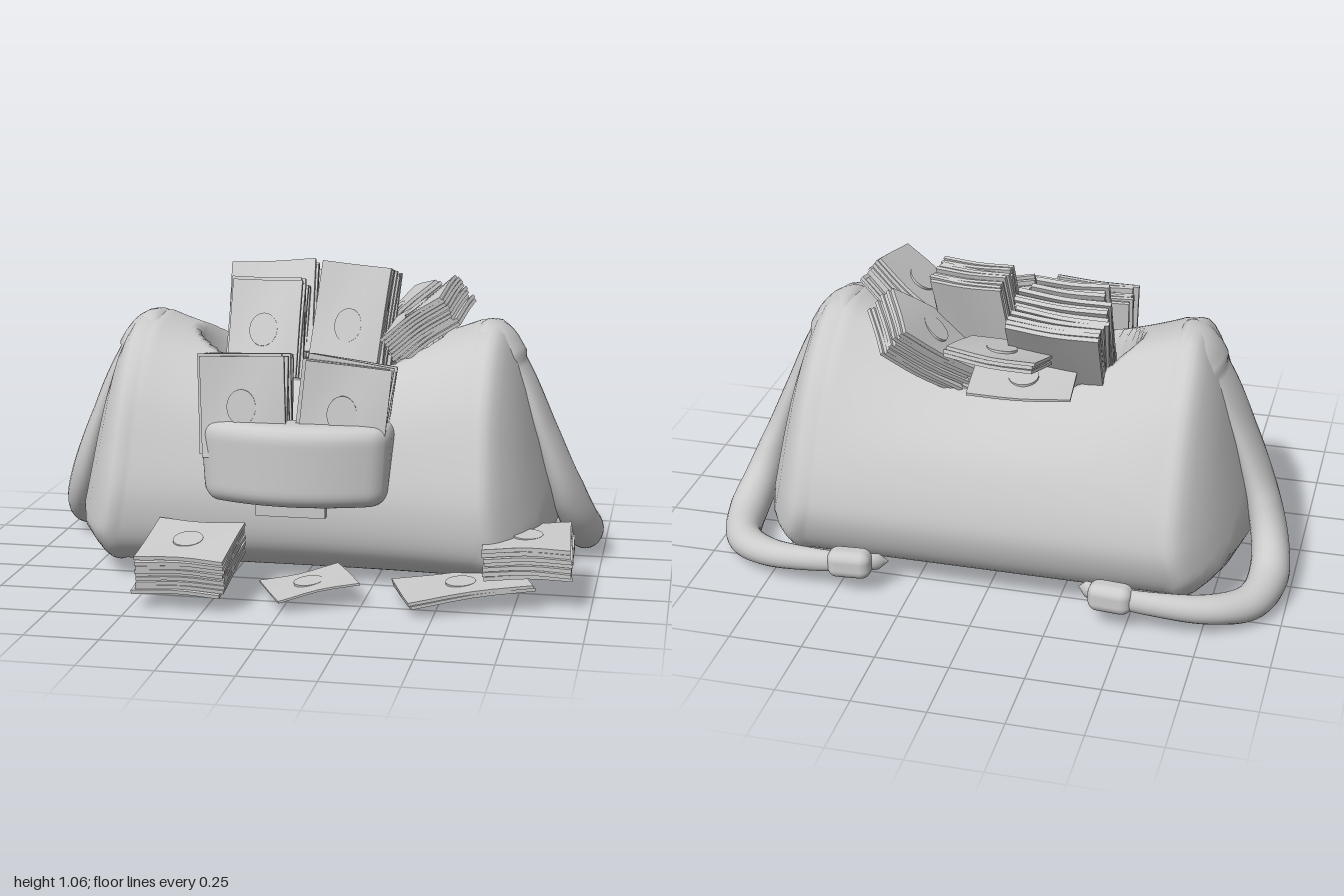
import * as THREE from 'three';
import { RoundedBoxGeometry } from 'three/addons/geometries/RoundedBoxGeometry.js';

const V = (x, y, z) => new THREE.Vector3(x, y, z);
const material = new THREE.MeshStandardMaterial({ color: 0xcccccc, side: THREE.DoubleSide });

let seed = 7;
const jitter = (a) => {
  seed = (seed * 16807) % 2147483647;
  return (seed / 2147483647 - 0.5) * 2 * a;
};

function add(parent, name, geometry) {
  const mesh = new THREE.Mesh(geometry, material);
  mesh.name = name;
  parent.add(mesh);
  return mesh;
}

// Skin over a list of closed rings of points
function loft(rings) {
  const n = rings[0].length, index = [];
  for (let i = 0; i < rings.length - 1; i++) {
    for (let j = 0; j < n; j++) {
      const k = (j + 1) % n;
      const a = i * n + j, b = (i + 1) * n + j, c = (i + 1) * n + k, d = i * n + k;
      index.push(a, b, c, a, c, d);
    }
  }
  const g = new THREE.BufferGeometry().setFromPoints(rings.flat());
  g.setIndex(index);
  g.computeVertexNormals();
  return g;
}

// Body: a pear-shaped section swept along x, sagging in the middle, with a pit for the opening
function bagBody() {
  const outline = [[0.24, 0.045], [0.35, 0.12], [0.38, 0.28], [0.33, 0.48], [0.25, 0.65], [0.12, 0.79],
    [0, 0.845], [-0.2, 0.855], [-0.3, 0.79], [-0.41, 0.69], [-0.53, 0.51], [-0.6, 0.35],
    [-0.615, 0.24], [-0.56, 0.11], [-0.45, 0.05], [-0.1, 0.02]];
  const curve = new THREE.CatmullRomCurve3(outline.map(([z, y]) => V(0, y, z)), true);
  const profile = curve.getSpacedPoints(120).slice(0, -1);
  const stations = [];
  for (let i = -36; i <= 36; i++) stations.push([(i / 36) * 0.84, 1]);
  const cap = [[0.87, 1.012], [0.9, 1.005], [0.925, 0.97], [0.945, 0.9], [0.965, 0.78], [0.98, 0.6], [0.99, 0.3], [0.993, 0.001]];
  for (const [s, k] of cap) {
    stations.push([s, k]);
    stations.unshift([-s, k]);
  }
  const step = THREE.MathUtils.smoothstep;
  return loft(stations.map(([s, k]) => profile.map((p) => {
    let y = 0.4 + (p.y - 0.4) * k, z = -0.12 + (p.z + 0.12) * k;
    // Ends lean inwards towards the top and are rounded in plan
    const lean = 0.87 - 0.23 * Math.max(0, y - 0.15) - 0.5 * Math.max(0, 0.17 - y);
    const x = s * lean * (1 - 0.13 * ((z + 0.12) / 0.48) ** 2);
    const mid = Math.max(0, 1 - (x / 0.62) ** 2);
    const sag = Math.max(0, 1 - (x / 0.56) ** 2);
    const d = (x / 0.42) ** 2 + ((z + 0.11) / 0.22) ** 2;
    const pit = p.y > 0.55 ? 0.28 * (1 - step(d, 0.7, 1.12)) : 0;
    z -= 0.06 * mid * step(p.z, 0.1, 0.35);
    y -= 0.11 * sag * step(p.y, 0.45, 0.85) + pit;
    return V(x, y, z);
  })));
}

// Handle: collared flat band over the end that becomes a round strap curling behind the bag
function strap(side) {
  const path = new THREE.CatmullRomCurve3([
    V(0.55, 0.835, -0.11), V(0.63, 0.82, -0.11), V(0.71, 0.69, -0.105), V(0.79, 0.5, -0.1), V(0.87, 0.28, -0.13),
    V(0.915, 0.15, -0.21), V(0.93, 0.08, -0.33), V(0.89, 0.062, -0.48), V(0.77, 0.08, -0.585),
    V(0.6, 0.1, -0.63), V(0.44, 0.11, -0.63), V(0.33, 0.1, -0.58),
  ].map((p) => V(p.x * side, p.y, p.z)));
  // [position, half width, half thickness]
  const sizes = [[0, 0.105, 0.002], [0.015, 0.117, 0.04], [0.1, 0.117, 0.047], [0.11, 0.104, 0.038], [0.25, 0.1, 0.045], [0.4, 0.094, 0.06],
    [0.55, 0.075, 0.068], [0.72, 0.05, 0.055], [0.88, 0.038, 0.03], [0.98, 0.03, 0.02], [1, 0.001, 0.001]];
  const sizeAt = (t) => {
    const i = Math.max(1, sizes.findIndex((q) => q[0] >= t));
    const a = sizes[i - 1], b = sizes[i], f = (t - a[0]) / (b[0] - a[0]);
    return [a[1] + (b[1] - a[1]) * f, a[2] + (b[2] - a[2]) * f];
  };
  const rings = [];
  for (let i = 0; i <= 100; i++) {
    const t = i / 100, p = path.getPointAt(t), tangent = path.getTangentAt(t);
    const out = V(p.x - 0.3 * side, t < 0.08 ? 0.4 : 0, t < 0.4 ? 0 : p.z + 0.15);
    const across = tangent.clone().cross(out).normalize();
    const normal = across.clone().cross(tangent);
    const [w, h] = sizeAt(t);
    rings.push(Array.from({ length: 24 }, (_, j) => {
      const a = (j / 24) * Math.PI * 2;
      return p.clone().addScaledVector(across, Math.cos(a) * w).addScaledVector(normal, Math.sin(a) * h);
    }));
  }
  return loft(rings);
}

// Pocket: a finely divided box, rounded, tapered downwards and bowed back at its ends
function pocketGeometry(w, h, d, r) {
  const g = new THREE.BoxGeometry(w, h, d, 36, 18, 12), p = g.attributes.position;
  const half = V(w / 2 - r, h / 2 - r, d / 2 - r), v = V(0, 0, 0);
  for (let i = 0; i < p.count; i++) {
    v.fromBufferAttribute(p, i);
    const core = v.clone().clamp(half.clone().negate(), half);
    v.sub(core).setLength(r).add(core);
    p.setXYZ(i, v.x * (1 + 0.2 * (v.y - h / 2)), v.y, v.z - 0.75 * v.x * v.x);
  }
  g.computeVertexNormals();
  return g;
}

// Stack of loose paper notes, lying in its own xz plane, with an oval on the top note
function bundle(parent, name, [w, t, l], position, rotation, count = 9) {
  const group = new THREE.Group();
  group.name = name;
  const g = new THREE.BoxGeometry(w, (t / count) * 0.88, l, 6, 1, 6);
  const p = g.attributes.position;
  for (let i = 0; i < p.count; i++) {
    const u = p.getX(i) / w, v = p.getZ(i) / l;
    p.setY(i, p.getY(i) + 0.005 * Math.sin(u * 5 + v * 3));
  }
  g.computeVertexNormals();
  const loose = count > 1 ? 1 : 0;
  for (let i = 0; i < count; i++) {
    const note = add(group, 'note', g);
    note.position.set(jitter(0.009) * loose, ((i + 0.5) / count - 0.5) * t, jitter(0.009) * loose);
    note.rotation.set(0, jitter(0.035) * loose, jitter(0.004) * loose);
  }
  const oval = add(group, 'noteOval', new THREE.CylinderGeometry(0.05, 0.05, 0.008, 24));
  oval.scale.z = 1.2;
  oval.position.y = t / 2;
  group.position.set(...position);
  group.rotation.set(...rotation, 'ZYX');
  parent.add(group);
}

export function createModel() {
  const model = new THREE.Group();
  model.name = 'duffelBagWithNotes';
  add(model, 'bagBody', bagBody());

  // Handles with keepers
  for (const side of [1, -1]) {
    const name = side > 0 ? 'left' : 'right';
    add(model, name + 'Strap', strap(side));
    const keeper = add(model, name + 'StrapKeeper', new RoundedBoxGeometry(0.15, 0.1, 0.085, 4, 0.035));
    keeper.position.set(0.45 * side, 0.11, -0.635);
    keeper.rotation.y = 0.08 * side;
  }

  // Front pocket and the tab beneath it
  add(model, 'frontPocket', pocketGeometry(0.66, 0.28, 0.19, 0.055)).position.set(-0.005, 0.44, 0.362);
  add(model, 'pocketTab', new THREE.BoxGeometry(0.24, 0.08, 0.1)).position.set(-0.02, 0.29, 0.3);

  // Notes on the ground
  bundle(model, 'groundBundleRight', [0.3, 0.13, 0.31], [-0.33, 0.14, 0.515], [0.15, 0, 0]);
  bundle(model, 'groundBundleLeft', [0.29, 0.11, 0.32], [0.78, 0.155, 0.275], [0.02, 0.06, 0.02], 7);
  bundle(model, 'groundNoteLeft', [0.42, 0.024, 0.27], [0.57, 0.06, 0.4], [0.02, 0.35, 0.1], 2);
  bundle(model, 'groundNoteMiddle', [0.28, 0.008, 0.27], [0.065, 0.055, 0.45], [0.02, 0.45, 0.16], 1);

  // Notes in the pocket
  bundle(model, 'pocketBundleRight', [0.29, 0.15, 0.34], [-0.18, 0.62, 0.3], [1.45, 0, 0.03]);
  bundle(model, 'pocketBundleLeft', [0.29, 0.13, 0.34], [0.155, 0.61, 0.3], [1.45, 0.05, -0.13]);

  // Notes heaped in the opening
  bundle(model, 'heapBundleBackRight', [0.31, 0.16, 0.36], [-0.2, 0.83, -0.28], [1, 0, 0.06]);
  bundle(model, 'heapBundleFrontRight', [0.25, 0.17, 0.38], [-0.19, 0.79, -0.1], [1.15, 0, 0.03]);
  bundle(model, 'heapBundleMiddle', [0.26, 0.13, 0.42], [0.11, 0.82, -0.15], [1.3, -0.2, -0.04]);
  bundle(model, 'heapNotesBack', [0.3, 0.04, 0.26], [-0.03, 0.85, -0.43], [0.25, -0.08, 0.05], 3);
  bundle(model, 'heapNoteRim', [0.34, 0.01, 0.26], [-0.1, 0.765, -0.41], [-0.1, 0.1, 0], 1);
  bundle(model, 'heapBundleBackLeft', [0.32, 0.13, 0.24], [0.27, 0.81, -0.31], [0.1, 0.5, 0.75]);
  bundle(model, 'heapBundleFrontLeft', [0.27, 0.12, 0.25], [0.385, 0.87, -0.05], [0.05, -0.18, 0.65]);
  return model;
}
